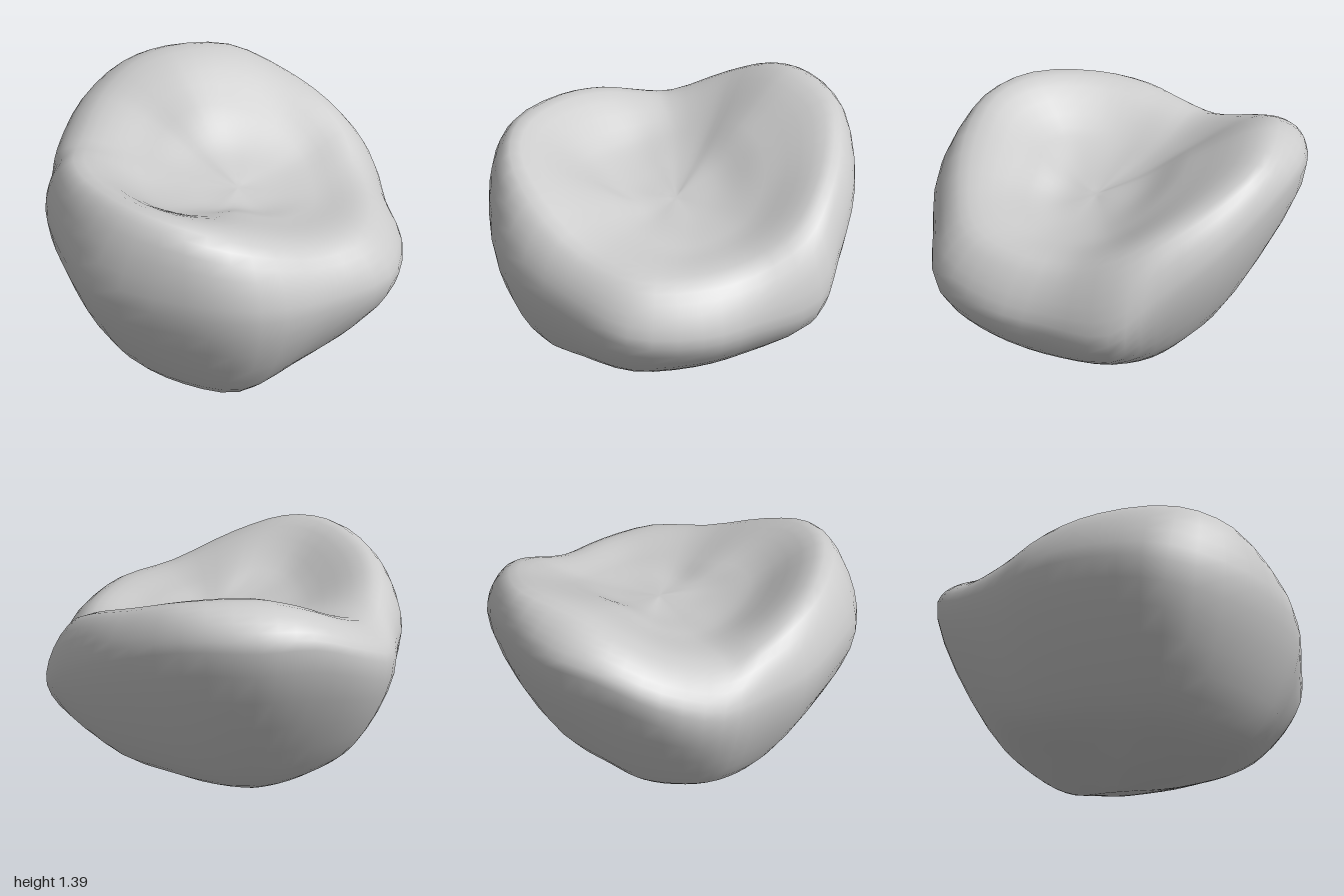
import * as THREE from 'three';

const v = ([x, y, z]) => new THREE.Vector3(x, y, z);

// Rings run from the front towards +x and round the back
const lowRing = [
  [-0.18, 0.2, 0.77], [0.1, 0.24, 0.71], [0.4, 0.3, 0.61], [0.6, 0.35, 0.39], [0.67, 0.35, 0.14], [0.69, 0.36, -0.12],
  [0.6, 0.36, -0.31], [0.42, 0.37, -0.47], [0.18, 0.35, -0.58], [-0.06, 0.33, -0.59], [-0.25, 0.33, -0.6], [-0.45, 0.36, -0.56],
  [-0.6, 0.36, -0.45], [-0.67, 0.32, -0.26], [-0.7, 0.3, -0.07], [-0.69, 0.29, 0.17], [-0.64, 0.26, 0.43], [-0.44, 0.22, 0.64],
].map(v);
const wideRing = [
  [-0.16, 0.82, 1], [0.25, 0.75, 0.92], [0.61, 0.72, 0.8], [0.82, 0.7, 0.5], [0.88, 0.68, 0.2], [0.95, 0.7, -0.14],
  [0.84, 0.87, -0.36], [0.64, 1.06, -0.64], [0.31, 1.2, -0.88], [-0.03, 1.23, -1], [-0.3, 1.22, -0.97], [-0.57, 1.1, -0.85],
  [-0.77, 0.96, -0.61], [-0.86, 0.93, -0.35], [-0.94, 0.93, -0.12], [-0.95, 0.93, 0.23], [-0.87, 0.88, 0.58], [-0.5, 0.85, 0.88],
].map(v);
const crestRing = [
  [-0.16, 1.14, 0.83], [0.2, 1, 0.78], [0.5, 0.96, 0.66], [0.66, 0.94, 0.42], [0.74, 0.95, 0.13], [0.78, 1.06, -0.14],
  [0.7, 1.17, -0.35], [0.54, 1.27, -0.57], [0.29, 1.37, -0.77], [-0.05, 1.385, -0.81], [-0.28, 1.33, -0.79], [-0.49, 1.22, -0.68],
  [-0.67, 1.11, -0.43], [-0.74, 1.15, -0.26], [-0.79, 1.21, -0.07], [-0.79, 1.26, 0.2], [-0.66, 1.29, 0.56], [-0.45, 1.25, 0.76],
].map(v);
const hollowRing = [
  [-0.08, 1.05, 0.42], [0.12, 0.99, 0.45], [0.3, 0.96, 0.4], [0.42, 0.94, 0.28], [0.46, 0.95, 0.12], [0.48, 0.99, -0.04],
  [0.44, 1.06, -0.18], [0.34, 1.14, -0.31], [0.18, 1.2, -0.4], [0, 1.22, -0.43], [-0.12, 1.19, -0.42], [-0.24, 1.13, -0.38],
  [-0.35, 1.07, -0.26], [-0.4, 1.05, -0.13], [-0.42, 1.04, 0], [-0.42, 1.05, 0.15], [-0.38, 1.07, 0.32], [-0.25, 1.08, 0.42],
].map(v);

const base = new THREE.Vector3(-0.2, 0, 0.04);
const floor = new THREE.Vector3(0.05, 0.97, 0.07);

// Underside halfway to the base: flat from front to back, steeper to the sides
const keelRing = lowRing.map((p, i) => {
  const side = Math.abs(Math.sin((i / lowRing.length) * Math.PI * 2));
  const q = base.clone().lerp(p, 0.5);
  q.y = p.y * (0.2 + 0.2 * side);
  return q;
});

// Hollow halfway to the floor: a tilted, rounded dish
const dishRing = hollowRing.map((p, i) => {
  const opposite = hollowRing[(i + hollowRing.length / 2) % hollowRing.length];
  const q = floor.clone().lerp(p, 0.5);
  q.y = floor.y + (p.y - opposite.y) / 4 + ((p.y + opposite.y) / 2 - floor.y) / 4;
  return q;
});

function shellGeometry(around = 54, along = 40) {
  const rings = [keelRing, lowRing, wideRing, crestRing, hollowRing, dishRing]
    .map((points) => new THREE.CatmullRomCurve3(points, true));

  // One profile per spoke: from the base, over the rim, to the hollow
  const positions = [...base.toArray()];
  const profiles = [];
  for (let i = 0; i < around; i++) {
    const points = rings.map((ring) => ring.getPoint(i / around));
    profiles.push(new THREE.CatmullRomCurve3([base, ...points, floor]));
  }
  for (let j = 1; j < along; j++) {
    for (const profile of profiles) positions.push(...profile.getPoint(j / along).toArray());
  }
  positions.push(...floor.toArray());

  const last = positions.length / 3 - 1;
  const at = (i, j) => 1 + (j - 1) * around + (i % around);
  const index = [];
  for (let i = 0; i < around; i++) {
    index.push(0, at(i + 1, 1), at(i, 1));
    for (let j = 1; j < along - 1; j++) {
      const a = at(i, j), b = at(i + 1, j), c = at(i + 1, j + 1), d = at(i, j + 1);
      index.push(a, b, c, a, c, d);
    }
    index.push(at(i, along - 1), at(i + 1, along - 1), last);
  }
  const geometry = new THREE.BufferGeometry();
  geometry.setAttribute('position', new THREE.Float32BufferAttribute(positions, 3));
  geometry.setIndex(index);
  geometry.computeVertexNormals();
  return geometry;
}

export function createModel() {
  const group = new THREE.Group();
  const body = new THREE.Mesh(shellGeometry(), new THREE.MeshStandardMaterial({ color: 0xcccccc }));
  body.name = 'hollowedBody';
  group.add(body);
  return group;
}
